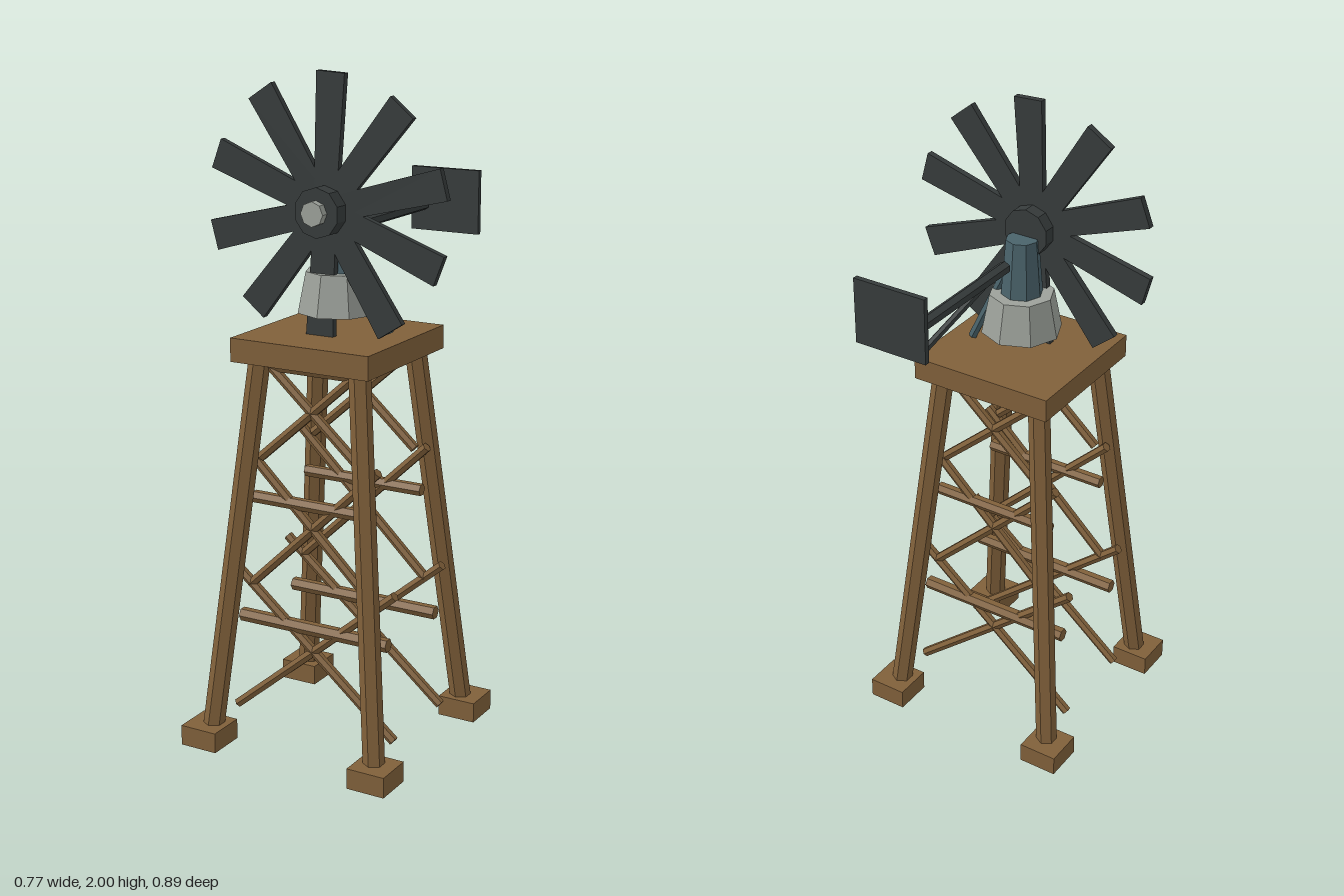
import * as THREE from 'three';

const mat = (color) => new THREE.MeshStandardMaterial({ color, flatShading: true });
const V = (x, y, z) => new THREE.Vector3(x, y, z);

export function createModel() {
  const model = new THREE.Group();
  model.name = 'windPump';
  const wood = mat(0x80603a), dark = mat(0x363b3b), steel = mat(0x4a636b), pale = mat(0x9ca19a);
  const CZ = 0.1;      // centre of the tower in z
  const HUB_Y = 1.61;  // wheel axis height

  const add = (name, geometry, material, x = 0, y = 0, z = 0, parent = model) => {
    const mesh = new THREE.Mesh(geometry, material);
    mesh.name = name;
    mesh.position.set(x, y, z);
    parent.add(mesh);
    return mesh;
  };
  // Straight faceted bar between two points
  const rod = (name, a, b, r, material, sides = 6) => {
    const dir = b.clone().sub(a);
    const mesh = add(name, new THREE.CylinderGeometry(r, r, dir.length(), sides), material);
    mesh.position.copy(a).add(b).multiplyScalar(0.5);
    mesh.quaternion.setFromUnitVectors(V(0, 1, 0), dir.normalize());
    return mesh;
  };

  // Platform, splayed legs and foot blocks
  add('platform', new THREE.BoxGeometry(0.45, 0.07, 0.45), wood, 0, 1.215, CZ);
  for (const sx of [-1, 1]) {
    for (const sz of [-1, 1]) {
      add('foot', new THREE.BoxGeometry(0.12, 0.062, 0.12), wood, sx * 0.285, 0.041, CZ + sz * 0.285);
      rod('leg', V(sx * 0.281, 0.004, CZ + sz * 0.281), V(sx * 0.163, 1.2, CZ + sz * 0.163), 0.032, wood);
    }
  }

  // Cross braces and rails on the front and back: [half width, low y, high y], [half width, y]
  const crosses = [[0.27, 0.085, 0.535], [0.215, 0.485, 0.895], [0.175, 0.885, 1.195]];
  const rails = [[0.25, 0.38, 0.021], [0.2, 0.76, 0.019], [0.16, 1.162, 0.015]];
  for (const sz of [-1, 1]) {
    const z = CZ + sz * 0.147;
    for (const [w, y0, y1] of crosses) {
      for (const s of [-1, 1]) rod('crossBrace', V(-s * w, y0, z), V(s * w, y1, z), 0.015, wood);
    }
    for (const [w, y, r] of rails) rod('rail', V(-w, y, z), V(w, y, z), r, wood);
  }

  // Turntable collar, gear tower and its side strut
  add('collar', new THREE.CylinderGeometry(0.096, 0.12, 0.12, 8), pale, 0, 1.37, CZ);
  add('gearTower', new THREE.CylinderGeometry(0.048, 0.066, 0.22, 8), steel, 0, 1.49, CZ);
  rod('sideStrut', V(0.055, 1.47, 0.086), V(0.152, 1.255, 0.071), 0.014, steel);

  // Wheel: hub, cap and ten slightly tapered blades
  const wheel = new THREE.Group();
  wheel.name = 'wheel';
  wheel.position.set(0, HUB_Y, 0.165);
  model.add(wheel);
  add('hub', new THREE.CylinderGeometry(0.072, 0.072, 0.106, 10).rotateX(Math.PI / 2), dark, 0, 0, 0.004, wheel);
  add('hubCap', new THREE.CylinderGeometry(0.036, 0.036, 0.03, 8).rotateX(Math.PI / 2), pale, 0, 0, 0.066, wheel);
  const outline = new THREE.Shape([[0.03, -0.036], [0.386, -0.045], [0.386, 0.045], [0.03, 0.036]]
    .map(([x, y]) => new THREE.Vector2(x, y)));
  const bladeGeometry = new THREE.ExtrudeGeometry(outline, { depth: 0.02, bevelEnabled: false });
  bladeGeometry.translate(0, 0, -0.01);
  for (let i = 0; i < 10; i++) {
    add('blade', bladeGeometry, dark, 0, 0, 0, wheel).rotation.z = THREE.MathUtils.degToRad(87 + i * 36);
  }

  // Tail boom, lower strut and vane
  rod('tailBoom', V(0, 1.547, 0.01), V(0, 1.547, -0.422), 0.019, dark);
  rod('tailStrut', V(0, 1.548, -0.04), V(0.06, 1.402, -0.335), 0.011, dark);
  add('tailVane', new THREE.BoxGeometry(0.229, 0.195, 0.016), dark, 0.067, 1.563, -0.44);

  return model;
}
